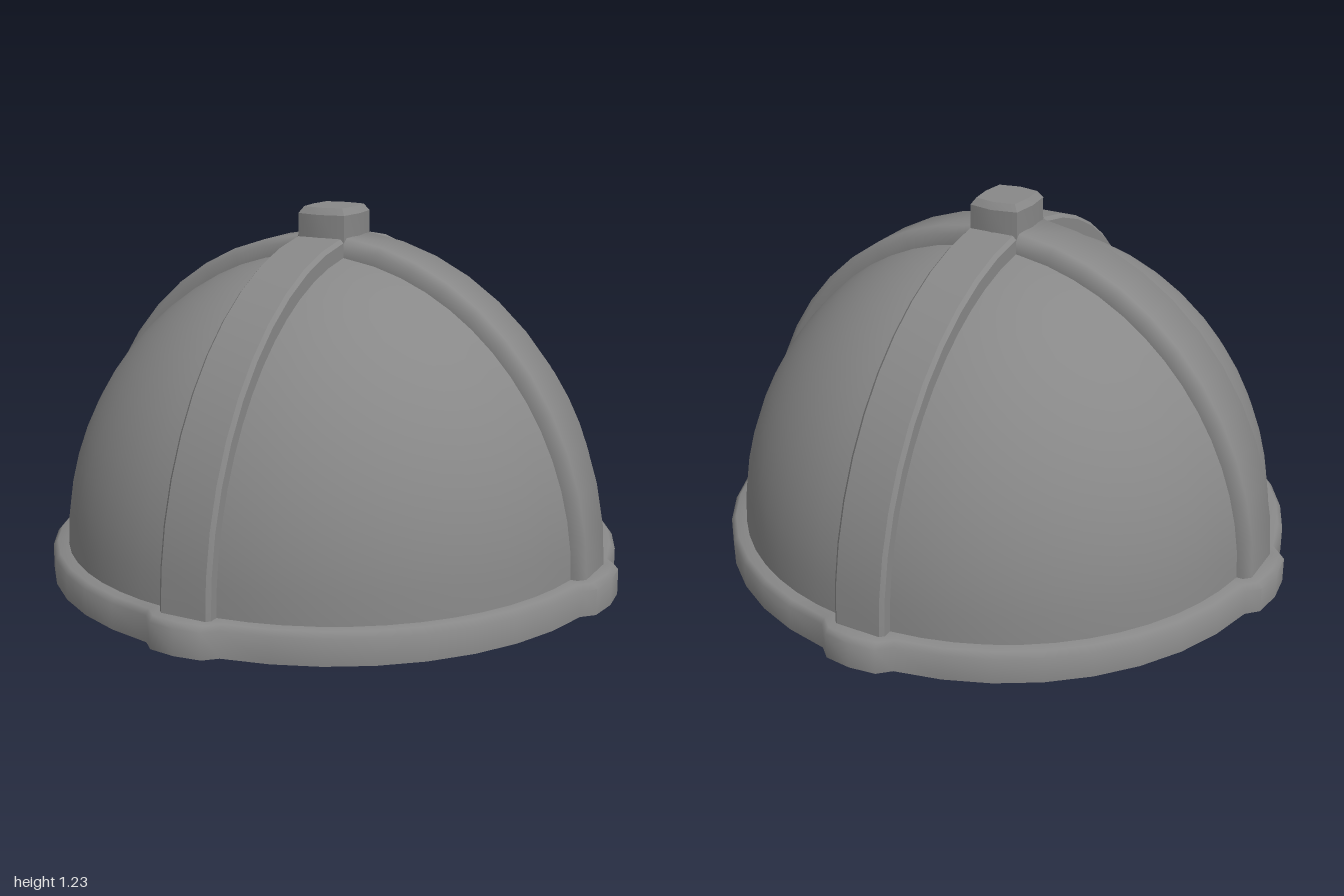
import * as THREE from 'three';
import { toCreasedNormals } from 'three/addons/utils/BufferGeometryUtils.js';

const material = new THREE.MeshStandardMaterial({ color: 0x888888, side: THREE.DoubleSide });
const BASE = 0.1;        // height where the dome starts
const WX = 0.09;         // half width of the front-back rib
const WZ = 0.105;        // half width of the side-to-side rib
const WALL = 0.03;       // shell thickness

// Surface from a function of grid indices returning [x, y, z]
function gridMesh(name, nu, nv, crease, point) {
  const positions = [], index = [];
  for (let i = 0; i <= nu; i++) for (let j = 0; j <= nv; j++) positions.push(...point(i, j));
  for (let i = 0; i < nu; i++) for (let j = 0; j < nv; j++) {
    const a = i * (nv + 1) + j, b = a + nv + 1;
    index.push(a, a + 1, b, b, a + 1, b + 1);
  }
  const geo = new THREE.BufferGeometry();
  geo.setAttribute('position', new THREE.Float32BufferAttribute(positions, 3));
  geo.setIndex(index);
  const mesh = new THREE.Mesh(toCreasedNormals(geo, crease), material);
  mesh.name = name;
  return mesh;
}

// One quarter of the dome between two ribs; inset moves it inwards
function panel(name, sx, sz, inset) {
  const a = 0.907 - inset, b = 0.98 - inset, wx = WX - inset, wz = WZ - inset;
  const end = Math.acos(Math.hypot(wx, wz) / a);
  const nu = 14, nv = 12;
  return gridMesh(name, nu, nv, 0.9, (i, j) => {
    const t = end * i / nu, r = a * Math.cos(t);
    const lo = Math.asin(wz / r), hi = Math.acos(wx / r);
    // reversing the sweep on mirrored quarters keeps faces turned the same way
    const k = sx * sz > 0 ? 1 - j / nv : j / nv;
    const phi = lo + (hi - lo) * k;
    return [sx * r * Math.cos(phi), BASE + b * Math.sin(t), sz * r * Math.sin(phi)];
  });
}

// Half-arch rib running along +x from the base up to the crossing
function rib(name, w, other, bevel, crease, inset) {
  const hw = w - inset;
  const section = [[-hw, -0.065], [-hw, -bevel], [-hw + bevel, 0], [hw - bevel, 0], [hw, -bevel], [hw, -0.065]];
  const a = 0.945 - inset, b = 1.035 - inset;
  const end = Math.acos((other - inset) / a), n = 11;
  return gridMesh(name, n, section.length - 1, crease, (i, j) => {
    const t = end * i / n, [s, h] = section[j];
    return [(a + h) * Math.cos(t), BASE + (b + h) * Math.sin(t), -s];
  });
}

// Rim band, stepping outwards where each rib meets it
function band() {
  const samples = [];
  for (let q = 0; q < 4; q++) {
    const w0 = q % 2 ? WX : WZ, w1 = q % 2 ? WZ : WX;
    const a0 = w0 + 0.045, a1 = Math.PI / 2 - w1 - 0.045;
    const quarter = [[0, 1], [w0, 0.993], [a0, 0.96]];
    for (let i = 1; i < 8; i++) quarter.push([a0 + (a1 - a0) * i / 8, 0.959]);
    quarter.push([a1, 0.96], [Math.PI / 2 - w1, 0.993]);
    quarter.forEach(([phi, r]) => samples.push([phi + q * Math.PI / 2, r]));
  }
  samples.push([Math.PI * 2, 1]);
  const profile = [[-0.085, 0.09], [-WALL, 0.075], [-WALL, 0], [0, 0.005], [0, 0.09], [-0.016, 0.107], [-0.085, 0.107], [-0.085, 0.09]];
  return gridMesh('rimBand', samples.length - 1, profile.length - 1, 0.95, (i, j) => {
    const [phi, r] = samples[i], [dr, y] = profile[j];
    return [(r + dr) * Math.cos(phi), y, -(r + dr) * Math.sin(phi)];
  });
}

// Faceted knob covering the crossing of the ribs
function knob() {
  const outline = [[-0.085, -0.09], [0, -0.107], [0.085, -0.09], [0.095, 0], [0.085, 0.09], [0, 0.107], [-0.085, 0.09], [-0.095, 0]];
  const shape = new THREE.Shape(outline.map(([x, y]) => new THREE.Vector2(x, y)));
  const geo = new THREE.ExtrudeGeometry(shape, {
    depth: 0.11, bevelEnabled: true, bevelSegments: 1, bevelSize: 0.016, bevelOffset: -0.016, bevelThickness: 0.022,
  });
  geo.rotateX(-Math.PI / 2);
  const mesh = new THREE.Mesh(toCreasedNormals(geo, 0.6), material);
  mesh.name = 'topKnob';
  mesh.position.y = 1.093;
  return mesh;
}

export function createModel() {
  const helmet = new THREE.Group();
  helmet.name = 'ribbedHelmet';

  // Outer skin and inner lining of the dome and ribs
  for (const [layer, inset] of [['outer', 0], ['inner', WALL]]) {
    for (const sx of [1, -1]) for (const sz of [1, -1]) {
      helmet.add(panel(`${layer}DomePanel`, sx, sz, inset));
    }
    // rounded ribs to the sides, crisper ones to the front and back
    for (let q = 0; q < 4; q++) {
      const part = q % 2 === 0
        ? rib(`${layer}SideRib`, WZ, WX, 0.022, 0.9, inset)
        : rib(`${layer}FrontBackRib`, WX, WZ, 0.012, 0.5, inset);
      part.rotation.y = q * Math.PI / 2;
      helmet.add(part);
    }
  }

  helmet.add(band(), knob());
  return helmet;
}
